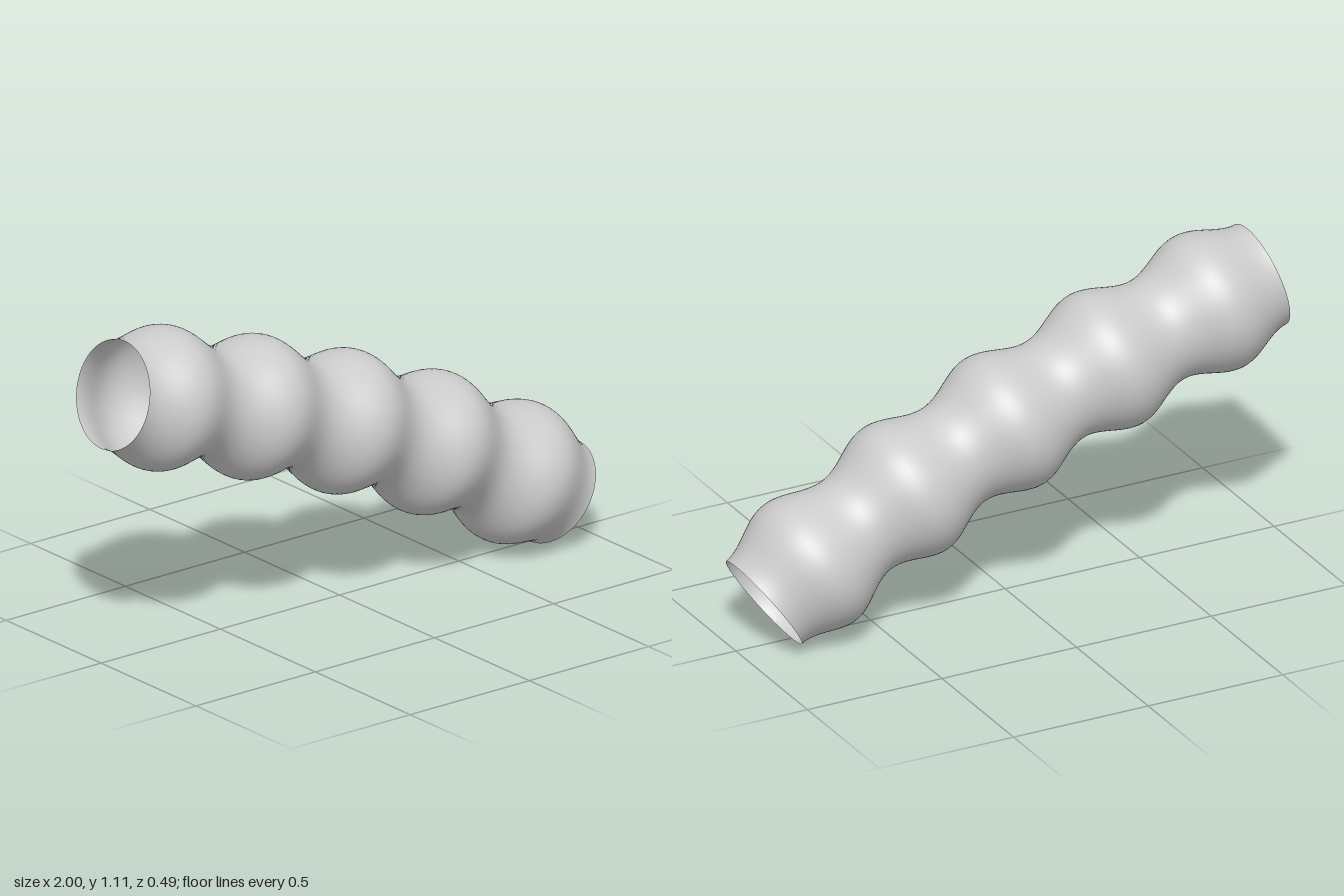
import * as THREE from 'three';

export function createModel() {
  const group = new THREE.Group();
  const rings = 120, sides = 64, bulges = 5;
  const waist = 0.184, swell = 0.059;

  // gently drooping centre line
  const path = new THREE.QuadraticBezierCurve3(
    new THREE.Vector3(-0.95, 0.932, 0),
    new THREE.Vector3(0.23, 0.601, 0),
    new THREE.Vector3(0.896, 0.154, 0)
  );
  const length = path.getLength();
  const geometry = new THREE.TubeGeometry(path, rings, 1, sides, false);
  const { position, normal } = geometry.attributes;
  const out = new THREE.Vector3(), p = new THREE.Vector3();

  // swell each ring into evenly spaced bulges, tilting normals with the slope
  for (let i = 0; i <= rings; i++) {
    const u = i / rings;
    const centre = path.getPointAt(u), tangent = path.getTangentAt(u);
    const phase = bulges * Math.PI * u;
    const radius = waist + swell * Math.sin(phase) ** 2;
    const slope = swell * Math.sin(2 * phase) * bulges * Math.PI / length;
    for (let j = 0; j <= sides; j++) {
      const k = i * (sides + 1) + j;
      out.fromBufferAttribute(normal, k);
      p.copy(centre).addScaledVector(out, radius);
      position.setXYZ(k, p.x, p.y, p.z);
      out.addScaledVector(tangent, -slope).normalize();
      normal.setXYZ(k, out.x, out.y, out.z);
    }
  }

  // open-ended thin shell
  const tube = new THREE.Mesh(geometry, new THREE.MeshStandardMaterial({
    color: 0xcccccc, side: THREE.DoubleSide
  }));
  tube.name = 'bulgingTube';
  group.add(tube);
  return group;
}
